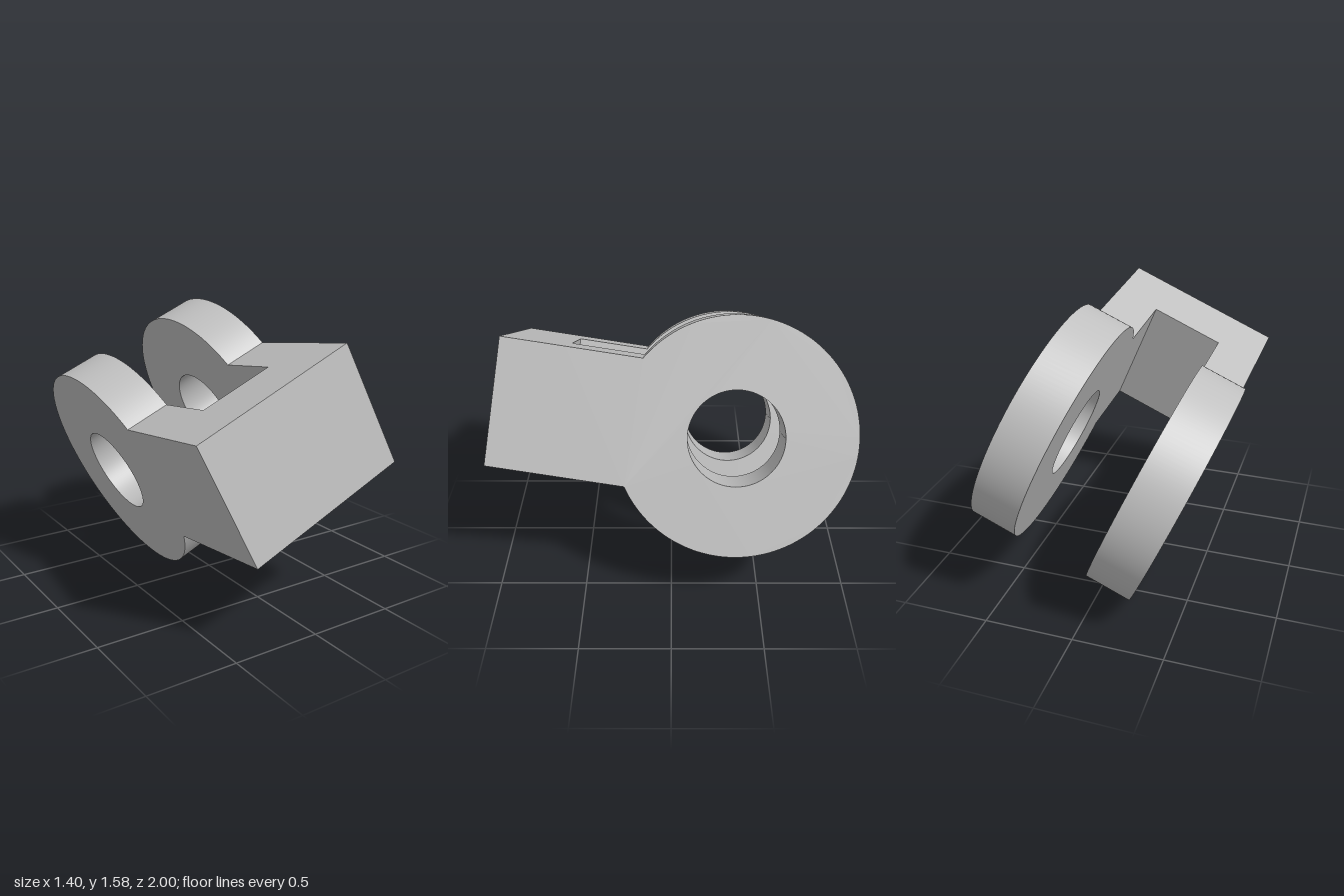
import * as THREE from 'three';
import { toCreasedNormals } from 'three/addons/utils/BufferGeometryUtils.js';

const S = 0.08723;          // size of one design unit
const WIDTH = 11 * S;       // across both arms
const ARM = 3 * S;          // arm thickness
const HALF_H = 4 * S;       // half height of the shank
const EYE = 7.5 * S;        // outer radius of the eye
const HOLE = 3 * S;         // pin hole radius
const SLOT_END = 11 * S;    // slot floor, measured from the pin axis
const FRONT = 15 * S;       // front face, measured from the pin axis

// Arm: straight shank running into a round eye with a pin hole
function armGeometry() {
  const a = Math.asin(HALF_H / EYE);
  const shape = new THREE.Shape();
  shape.moveTo(SLOT_END, -HALF_H);
  shape.lineTo(SLOT_END, HALF_H);
  shape.absarc(0, 0, EYE, a, 2 * Math.PI - a, false);
  shape.closePath();
  const hole = new THREE.Path();
  hole.absarc(0, 0, HOLE, 0, 2 * Math.PI, true);
  shape.holes.push(hole);
  const geo = new THREE.ExtrudeGeometry(shape, { depth: ARM, bevelEnabled: false, curveSegments: 64 });
  geo.translate(0, 0, -ARM / 2);
  geo.rotateY(-Math.PI / 2);
  return toCreasedNormals(geo, 0.5);
}

export function createModel() {
  const steel = new THREE.MeshStandardMaterial({ color: 0xc0c0c0 });
  steel.name = 'grey';

  const clevis = new THREE.Group();
  clevis.name = 'clevis';

  // Two mirrored arms
  const geo = armGeometry();
  for (const side of [-1, 1]) {
    const arm = new THREE.Mesh(geo, steel);
    arm.name = side > 0 ? 'leftArm' : 'rightArm';
    arm.position.x = side * (WIDTH - ARM) / 2;
    clevis.add(arm);
  }

  // Solid block joining the arms
  const block = new THREE.Mesh(new THREE.BoxGeometry(WIDTH, 2 * HALF_H, FRONT - SLOT_END), steel);
  block.name = 'baseBlock';
  block.position.z = (FRONT + SLOT_END) / 2;
  clevis.add(block);

  // Tilted pose about the pin axis centre
  clevis.rotation.set(THREE.MathUtils.degToRad(-8.7), 0, THREE.MathUtils.degToRad(23.6), 'ZYX');
  clevis.position.set(0, 0.792, -0.346);

  const model = new THREE.Group();
  model.name = 'model';
  model.add(clevis);
  return model;
}
